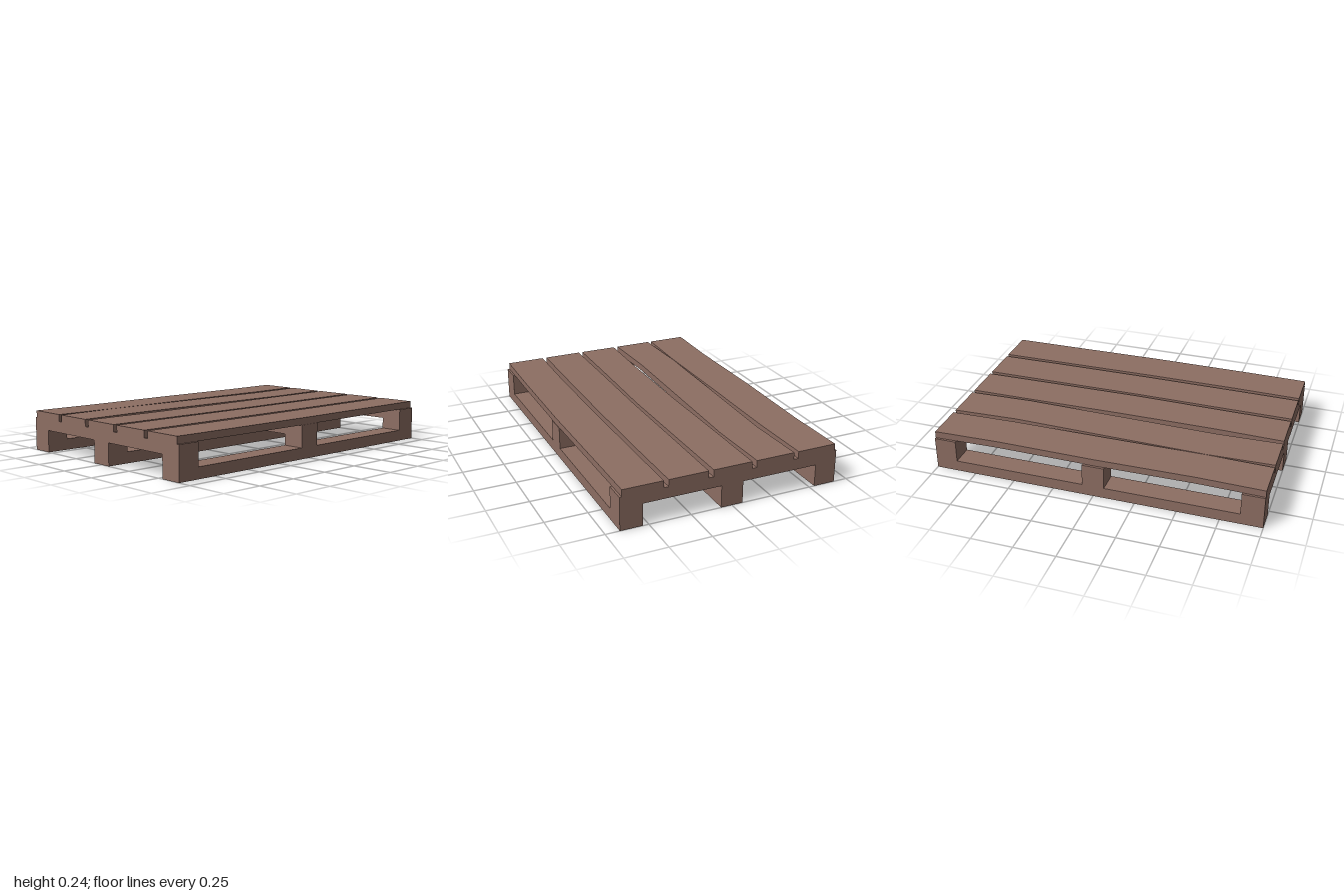
import * as THREE from 'three';

const T = 0.2 / 3; // height of each timber layer
const W = 0.4 / 3; // width of runners, blocks and cross beams
const HALF_X = 2 / 3;

export function createModel() {
  const pallet = new THREE.Group();
  pallet.name = 'pallet';
  const wood = new THREE.MeshStandardMaterial({ color: 0x8d6e63 });
  wood.name = 'brown wood';

  function add(name, geometry, x, y, z) {
    const mesh = new THREE.Mesh(geometry, wood);
    mesh.name = name;
    mesh.position.set(x, y, z);
    pallet.add(mesh);
  }

  const columns = [-(HALF_X - W / 2), 0, HALF_X - W / 2];
  const rows = [-(1 - W / 2), 0, 1 - W / 2];

  // Three long bottom runners, each carrying three blocks
  for (const x of columns) {
    add('runner', new THREE.BoxGeometry(W, T, 2), x, T / 2, 0);
    for (const z of rows) add('block', new THREE.BoxGeometry(W, T, W), x, T * 1.5, z);
  }

  // Cross beams joining the blocks
  for (const z of rows) add('crossBeam', new THREE.BoxGeometry(2 * HALF_X, T, W), 0, T * 2.5, z);

  // Deck planks with slightly wavy edges: x of left and right edge at each station
  const stations = [-1, -0.6, 0, 0.6, 1];
  const planks = [
    [[-0.655, -0.645, -0.652, -0.645, -0.655], [-0.414, -0.403, -0.405, -0.403, -0.414]],
    [[-0.386, -0.37, -0.386, -0.4, -0.389], [-0.148, -0.134, -0.148, -0.162, -0.15]],
    [[-0.119, -0.116, -0.108, -0.11, -0.121], [0.118, 0.124, 0.132, 0.122, 0.118]],
    [[0.147, 0.149, 0.153, 0.147, 0.146], [0.385, 0.391, 0.394, 0.39, 0.385]],
    [[0.413, 0.417, 0.423, 0.421, 0.413], [0.653, 0.657, 0.664, 0.66, 0.653]],
  ];
  for (const [left, right] of planks) {
    const leftEdge = stations.map((z, i) => new THREE.Vector2(left[i], -z));
    const rightEdge = stations.map((z, i) => new THREE.Vector2(right[i], -z));
    const outline = new THREE.Shape([...leftEdge, ...rightEdge.reverse()]);
    const geometry = new THREE.ExtrudeGeometry(outline, { depth: 0.042, bevelEnabled: false });
    geometry.rotateX(-Math.PI / 2);
    add('deckPlank', geometry, 0, T * 3, 0);
  }

  return pallet;
}
